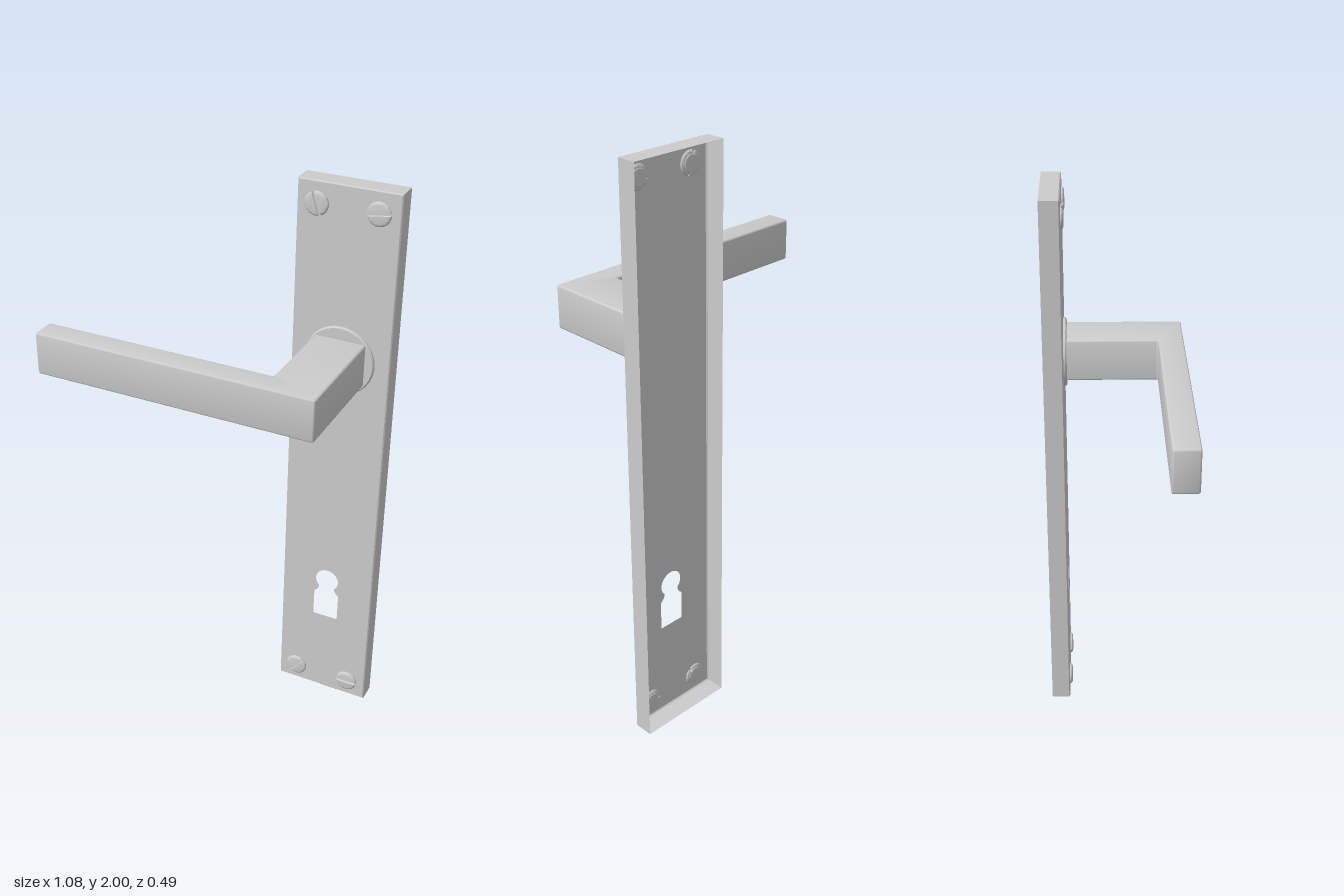
import * as THREE from 'three';
import { toCreasedNormals } from 'three/addons/utils/BufferGeometryUtils.js';

const metal = new THREE.MeshStandardMaterial({ color: 0xcccccc });
const sheet = new THREE.MeshStandardMaterial({ color: 0xcccccc, side: THREE.DoubleSide });

const PLATE = { x0: 0.195, x1: 0.54, y0: 0, y1: 2, back: -0.245, front: -0.175 };
const CX = 0.367;

function addMesh(parent, name, geometry, material = metal) {
  const mesh = new THREE.Mesh(geometry, material);
  mesh.name = name;
  parent.add(mesh);
  return mesh;
}

// Rectangle outline of the plate, pulled in by a margin
function plateCorners(inset) {
  const { x0, x1, y0, y1 } = PLATE;
  return [
    [x0 + inset, y0 + inset], [x1 - inset, y0 + inset],
    [x1 - inset, y1 - inset], [x0 + inset, y1 - inset],
  ];
}

// Polygon shape with every corner rounded by r
function roundedShape(points, r) {
  const pts = points.map(([x, y]) => new THREE.Vector2(x, y));
  const shape = new THREE.Shape();
  pts.forEach((p, i) => {
    const prev = pts[(i + pts.length - 1) % pts.length];
    const next = pts[(i + 1) % pts.length];
    const a = prev.clone().sub(p).setLength(r).add(p);
    const b = next.clone().sub(p).setLength(r).add(p);
    if (i === 0) shape.moveTo(a.x, a.y);
    else shape.lineTo(a.x, a.y);
    shape.quadraticCurveTo(p.x, p.y, b.x, b.y);
  });
  shape.closePath();
  return shape;
}

// Keyhole: round top, pinched neck, rectangular foot
function keyhole() {
  const hole = new THREE.Path();
  const r = 0.043, cy = 0.505, a = Math.PI * 0.26;
  hole.moveTo(CX - 0.047, 0.34);
  hole.lineTo(CX + 0.047, 0.34);
  hole.lineTo(CX + 0.047, 0.445);
  hole.quadraticCurveTo(CX + 0.03, 0.455, CX + r * Math.cos(a), cy - r * Math.sin(a));
  hole.absarc(CX, cy, r, -a, Math.PI + a, false);
  hole.quadraticCurveTo(CX - 0.03, 0.455, CX - 0.047, 0.445);
  hole.closePath();
  return hole;
}

// Hollow plate: pierced face plus chamfered side walls, open at the back
function createPlate() {
  const group = new THREE.Group();
  group.name = 'backPlate';
  const face = new THREE.Shape(plateCorners(0.004).map(([x, y]) => new THREE.Vector2(x, y)));
  face.holes.push(keyhole());
  addMesh(group, 'plateFace', new THREE.ShapeGeometry(face, 24).translate(0, 0, PLATE.front), sheet);

  const rings = [[0, PLATE.back], [0, PLATE.front - 0.004], [0.004, PLATE.front]]
    .map(([inset, z]) => plateCorners(inset).map(([x, y]) => [x, y, z]));
  const position = [];
  for (let k = 0; k < rings.length - 1; k++) {
    for (let i = 0; i < 4; i++) {
      const j = (i + 1) % 4;
      const [a, b, c, d] = [rings[k][i], rings[k][j], rings[k + 1][j], rings[k + 1][i]];
      position.push(...a, ...b, ...c, ...a, ...c, ...d);
    }
  }
  const walls = new THREE.BufferGeometry();
  walls.setAttribute('position', new THREE.Float32BufferAttribute(position, 3));
  walls.computeVertexNormals();
  addMesh(group, 'plateWalls', walls, sheet);
  return group;
}

// Lathe whose axis points forward; profile is [radius, forward offset]
function turned(profile, segments) {
  const points = profile.map(([r, h]) => new THREE.Vector2(r, h));
  return toCreasedNormals(new THREE.LatheGeometry(points, segments).rotateX(Math.PI / 2), 0.5);
}

// Slotted screw: two domed halves over a base that pokes through the plate
function createScrew(x, y, angle) {
  const screw = new THREE.Group();
  screw.name = 'screw';
  addMesh(screw, 'screwBase', turned(
    [[0, -0.008], [0.026, -0.008], [0.034, -0.001], [0.04, 0], [0.04, 0.002], [0, 0.002]], 32));

  const r = 0.04, a = Math.asin(0.004 / r);
  const half = new THREE.Shape();
  half.absarc(0, 0, r, a, Math.PI - a, false);
  half.closePath();
  const geometry = toCreasedNormals(new THREE.ExtrudeGeometry(half, {
    depth: 0.002, curveSegments: 24, bevelEnabled: true,
    bevelThickness: 0.007, bevelSize: 0.012, bevelOffset: -0.012, bevelSegments: 4,
  }), 0.6);
  // Straighten the slot side that the bevel pulled inwards
  for (const turn of [0, Math.PI]) {
    const mesh = addMesh(screw, 'screwHeadHalf', geometry);
    mesh.rotation.z = turn;
    mesh.position.z = 0.001;
  }
  screw.position.set(x, y, PLATE.front);
  screw.rotation.z = angle;
  return screw;
}

// L-shaped lever, drawn from above as (x, -z) and extruded upwards
function createLever() {
  const bevel = 0.007, bottom = 1.335, top = 1.485;
  const outline = roundedShape([
    [-0.541, -0.242], [0.456, -0.242], [0.456, 0.174],
    [0.278, 0.174], [0.278, -0.154], [-0.541, -0.154],
  ], 0.01);
  const geometry = new THREE.ExtrudeGeometry(outline, {
    depth: top - bottom - 2 * bevel, curveSegments: 5, bevelEnabled: true,
    bevelThickness: bevel, bevelSize: bevel, bevelOffset: -bevel, bevelSegments: 3,
  });
  geometry.rotateX(-Math.PI / 2).translate(0, bottom + bevel, 0);
  return toCreasedNormals(geometry, 0.6);
}

export function createModel() {
  const model = new THREE.Group();
  model.name = 'doorHandle';
  model.add(createPlate());

  // Round collar where the lever meets the plate
  const collar = addMesh(model, 'collar', turned(
    [[0, 0], [0.121, 0], [0.121, 0.006], [0.117, 0.011], [0, 0.011]], 64));
  collar.position.set(CX, 1.408, PLATE.front);

  addMesh(model, 'lever', createLever());

  const screws = [
    [0.262, 1.927, 1.9], [0.468, 1.927, 0.15],
    [0.262, 0.065, 0.9], [0.468, 0.065, 0],
  ];
  for (const [x, y, angle] of screws) model.add(createScrew(x, y, angle));
  return model;
}
